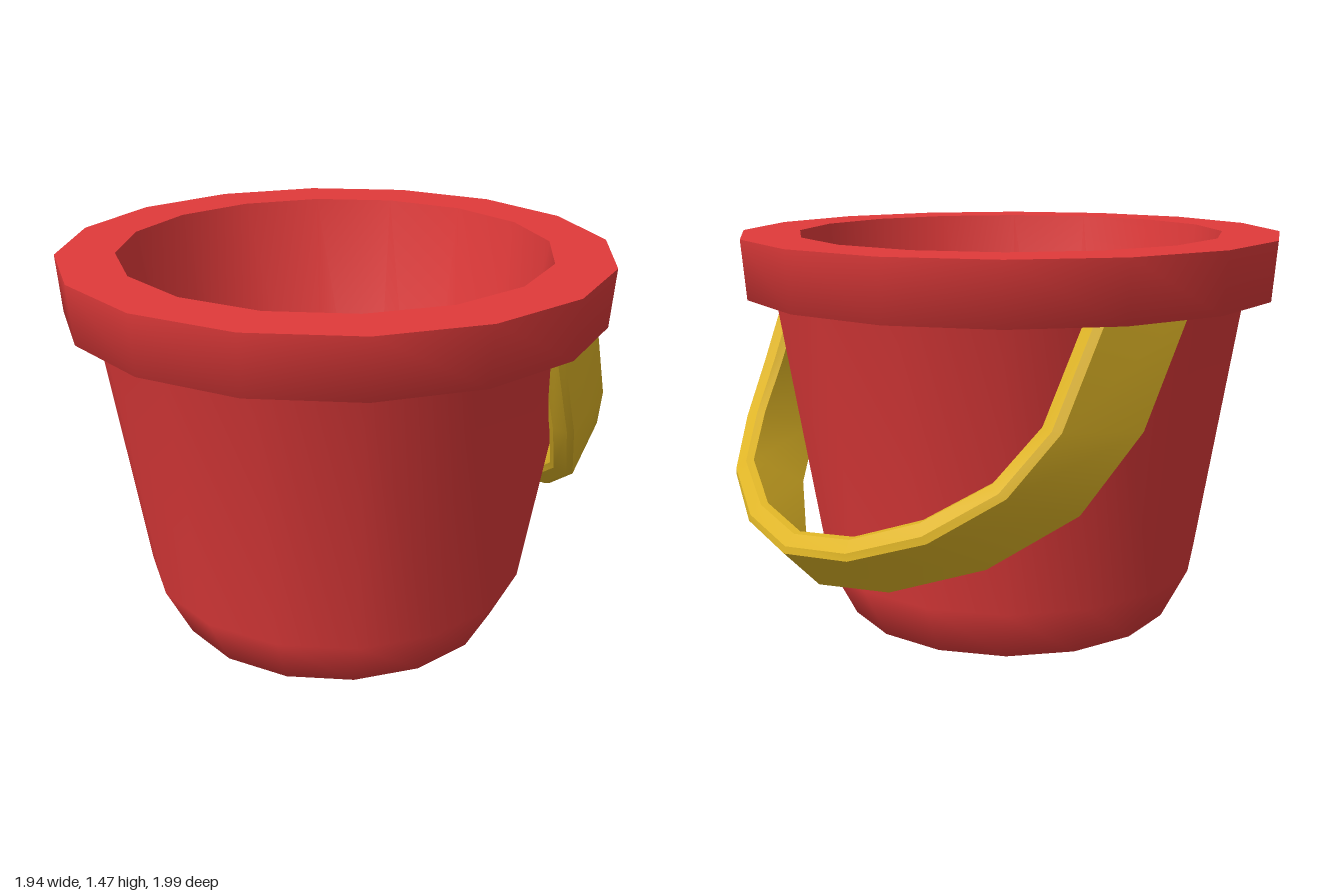
import * as THREE from 'three';
import { mergeVertices } from 'three/addons/utils/BufferGeometryUtils.js';

const red = new THREE.MeshStandardMaterial({ color: 0xe03a3a });
red.name = 'bucket red';
const yellow = new THREE.MeshStandardMaterial({ color: 0xdeb426 });
yellow.name = 'handle yellow';

// One smooth turned surface; separate surfaces keep the edges between them sharp
function turned(name, profile) {
  const points = profile.map(([r, y]) => new THREE.Vector2(r, y));
  const lathe = new THREE.LatheGeometry(points, 16);
  lathe.deleteAttribute('uv');
  lathe.deleteAttribute('normal');
  const geometry = mergeVertices(lathe);
  geometry.computeVertexNormals(); // large faces dominate the shading
  const mesh = new THREE.Mesh(geometry, red);
  mesh.name = name;
  return mesh;
}

// Curved band: a bevelled section swept between a lower and an upper edge
function handleGeometry() {
  // [lower x, y, z], [upper x, y, z] from the middle of the back to the rim
  const half = [
    [[0, 0.34, -0.86], [0, 0.49, -1.0]],
    [[0.29, 0.375, -0.79], [0.28, 0.525, -0.955]],
    [[0.56, 0.48, -0.61], [0.535, 0.62, -0.845]],
    [[0.765, 0.66, -0.4], [0.71, 0.765, -0.68]],
    [[0.855, 0.915, -0.21], [0.795, 0.955, -0.535]],
    [[0.885, 1.29, -0.03], [0.825, 1.29, -0.375]],
  ];
  const mirrored = half.slice(1).map(s => s.map(([x, y, z]) => [-x, y, z]));
  const stations = [...half.slice().reverse(), ...mirrored]
    .map(s => s.map(p => new THREE.Vector3(...p)));
  const mid = stations.map(([a, b]) => a.clone().lerp(b, 0.5));

  // Section corners: fraction across the band, depth inwards
  const section = [
    [0.02, 0], [0.97, 0], [1.04, 0.02], [1.04, 0.07],
    [0.97, 0.09], [0.02, 0.09], [-0.03, 0.07], [-0.03, 0.02],
  ];
  const last = stations.length - 1;
  const rings = stations.map(([low, up], i) => {
    const along = mid[Math.min(i + 1, last)].clone().sub(mid[Math.max(i - 1, 0)]);
    const inward = up.clone().sub(low).cross(along).normalize();
    return section.map(([w, d]) => low.clone().lerp(up, w).addScaledVector(inward, d));
  });

  // Each strip has its own vertices: smooth along the band, sharp across it
  const positions = [], index = [];
  section.forEach((_, s) => {
    const start = positions.length / 3;
    rings.forEach((ring, i) => {
      positions.push(...ring[s].toArray(), ...ring[(s + 1) % section.length].toArray());
      if (i < last) {
        const a = start + i * 2;
        index.push(a, a + 2, a + 1, a + 1, a + 2, a + 3);
      }
    });
  });
  const geometry = new THREE.BufferGeometry();
  geometry.setAttribute('position', new THREE.Float32BufferAttribute(positions, 3));
  geometry.setIndex(index);
  geometry.computeVertexNormals();
  return geometry;
}

export function createModel() {
  const model = new THREE.Group();
  model.name = 'bucket';

  // Tub and rim
  const tub = new THREE.Group();
  tub.name = 'tub';
  tub.add(
    turned('outerWallAndRim', [
      [0, 0], [0.41, 0], [0.61, 0.08], [0.705, 0.27],
      [0.86, 1.265], [0.957, 1.265], [0.972, 1.47],
    ]),
    turned('rimTop', [[0.972, 1.47], [0.765, 1.47]]),
    turned('innerWall', [[0.765, 1.47], [0.55, 0.1], [0, 0.1]]),
  );
  tub.position.z = 0.025;
  tub.rotation.y = 0.015;
  model.add(tub);

  // Handle resting against the back
  const handle = new THREE.Mesh(handleGeometry(), yellow);
  handle.name = 'handle';
  handle.rotation.y = 0.015;
  model.add(handle);

  return model;
}
